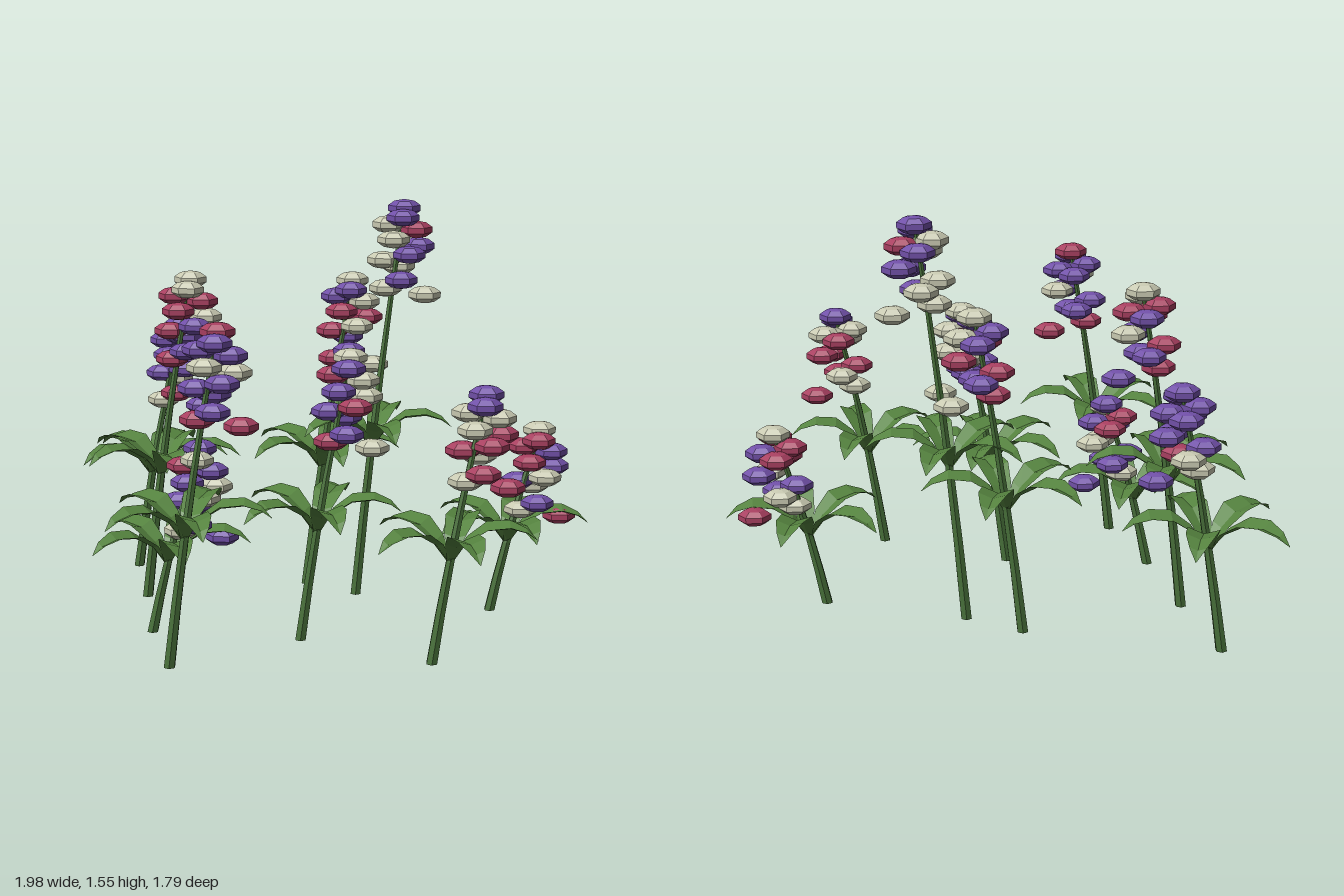
import * as THREE from 'three';

const mat = (name, color, side = THREE.FrontSide) => {
  const m = new THREE.MeshStandardMaterial({ color, flatShading: true, side });
  m.name = name;
  return m;
};

// Base x, base z, height of the top blossom, blossom colours from top to bottom
const PLANTS = [
  [-0.80, -0.60, 1.00, 'PPPPPPPPPWRWP'],
  [-0.10, -0.39, 1.22, 'WPPWRPRWRPPRW'],
  [0.10, -0.26, 1.52, 'PPWRWPPPWWPWW'],
  [0.62, -0.08, 0.70, 'WRRPRRPWPWPWR'],
  [-0.715, -0.20, 1.25, 'WWRRRPWPRPPRP'],
  [-0.645, 0.22, 0.69, 'PWRPPRWWPPPWP'],
  [-0.09, 0.29, 1.05, 'WPRWPRWRPPPRW'],
  [0.39, 0.53, 0.97, 'PPWWWRRRRWRWR'],
  [-0.54, 0.60, 1.20, 'RPPPWPWPPPPRR'],
];

// Blossom centres: x and z from the plant base, y from the top blossom
const BLOSSOMS = [
  [0.18, 0, -0.06], [0.175, -0.03, 0], [0.12, -0.06, -0.04], [0.225, -0.08, -0.04],
  [0.14, -0.11, 0.02], [0.17, -0.09, -0.10], [0.235, -0.15, -0.09], [0.20, -0.17, 0.01],
  [0.10, -0.20, -0.06], [0.16, -0.23, -0.11], [0.17, -0.26, 0.05], [0.11, -0.30, -0.01],
  [0.26, -0.33, -0.04],
];

// Leaf cross-sections: distance out, height, half width
const LEAF = [
  [0, 0, 0.012], [0.06, 0.085, 0.04], [0.13, 0.135, 0.058],
  [0.21, 0.142, 0.052], [0.27, 0.118, 0.03], [0.31, 0.08, 0.001],
];

// Leaning, slightly curved stem line; t runs from 0 to 1
const stemX = (t) => 0.135 * t + 0.04 * t * t;
const stemZ = (t) => -0.045 * Math.max(0, t - 0.4) / 0.6;

function stemGeometry(height) {
  const geo = new THREE.CylinderGeometry(0.009, 0.022, 1, 6, 5);
  geo.translate(0, 0.5, 0);
  const p = geo.attributes.position;
  for (let i = 0; i < p.count; i++) {
    const t = p.getY(i);
    p.setXYZ(i, p.getX(i) + stemX(t), t * height, p.getZ(i) + stemZ(t));
  }
  geo.computeVertexNormals();
  return geo;
}

// Arching leaf with a sunken midrib
function leafGeometry() {
  const geo = new THREE.PlaneGeometry(1, 1, 2, LEAF.length - 1);
  const p = geo.attributes.position;
  for (let i = 0; i < p.count; i++) {
    const [out, up, half] = LEAF[Math.floor(i / 3)];
    const across = (i % 3) - 1;
    p.setXYZ(i, out, up - (across === 0 ? half * 0.35 : 0), across * half);
  }
  geo.computeVertexNormals();
  return geo;
}

export function createModel() {
  const model = new THREE.Group();
  model.name = 'flowerPatch';

  const stemGreen = mat('stemGreen', 0x48703a);
  const leafGreen = mat('leafGreen', 0x55833f, THREE.DoubleSide);
  const petals = {
    P: mat('purplePetal', 0x7150a8),
    R: mat('winePetal', 0xa83f60),
    W: mat('creamPetal', 0xc9cab2),
  };

  const leafGeo = leafGeometry();
  const blossomGeo = new THREE.SphereGeometry(1, 6, 5);
  blossomGeo.scale(0.065, 0.034, 0.052);

  for (const [x, z, height, colours] of PLANTS) {
    const plant = new THREE.Group();
    plant.name = 'plant';
    plant.position.set(x, 0, z);

    const stem = new THREE.Mesh(stemGeometry(height - 0.02), stemGreen);
    stem.name = 'stem';
    plant.add(stem);

    // Whorl of five leaves
    const whorl = new THREE.Group();
    whorl.name = 'leafWhorl';
    whorl.position.set(0.06, height * 0.4 - 0.01, 0);
    for (let i = 0; i < 5; i++) {
      const leaf = new THREE.Mesh(leafGeo, leafGreen);
      leaf.name = 'leaf';
      leaf.rotation.y = (i * Math.PI * 2) / 5;
      whorl.add(leaf);
    }
    plant.add(whorl);

    // Flower spike
    const spike = new THREE.Group();
    spike.name = 'flowerSpike';
    spike.position.y = height;
    BLOSSOMS.forEach((pos, i) => {
      const blossom = new THREE.Mesh(blossomGeo, petals[colours[i]]);
      blossom.name = 'blossom';
      blossom.position.set(...pos);
      spike.add(blossom);
    });
    plant.add(spike);
    model.add(plant);
  }
  return model;
}
